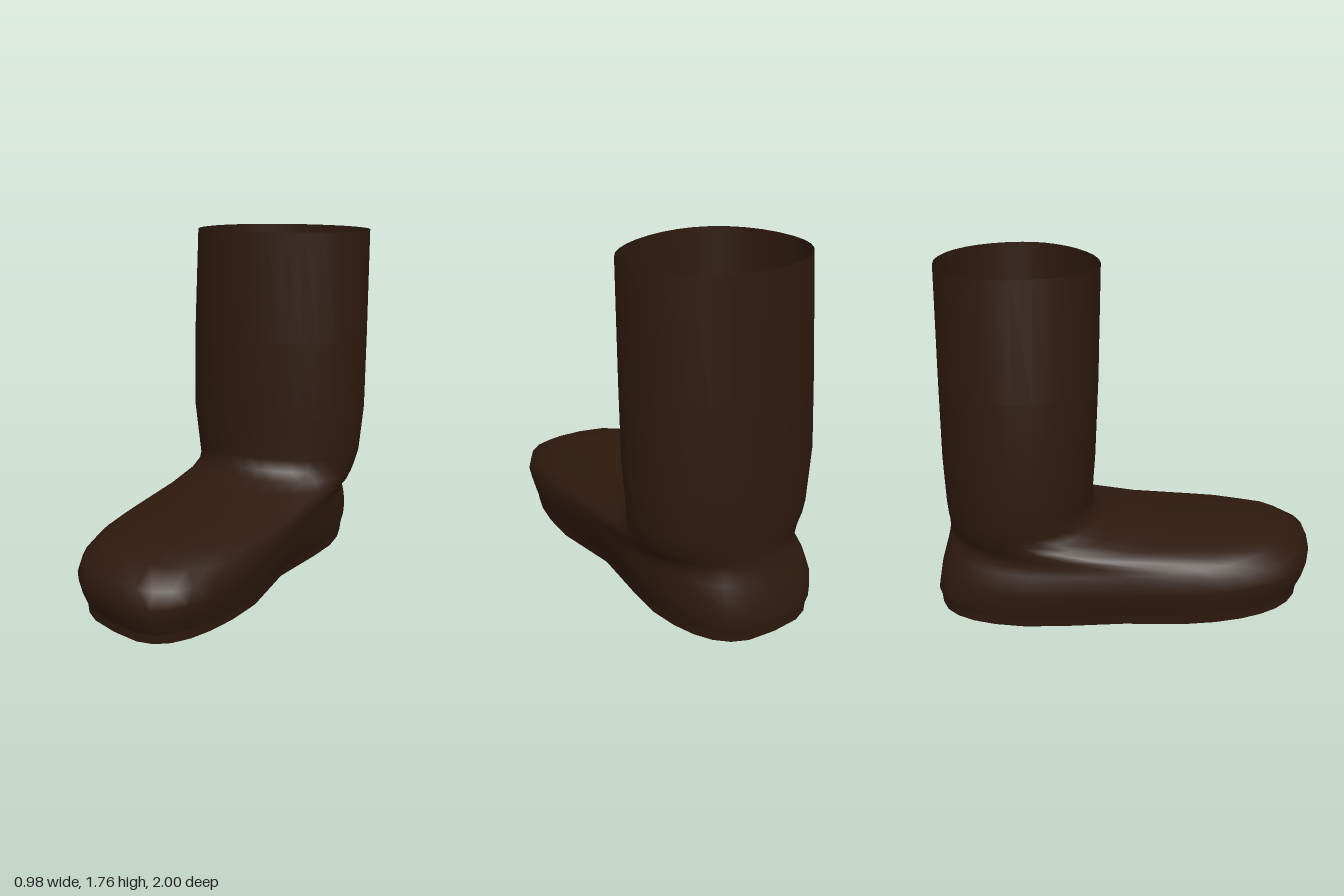
import * as THREE from 'three';

const SIDES = 32;
const signedPow = (v, e) => (Math.abs(v) < 1e-6 ? 0 : Math.sign(v) * Math.abs(v) ** e);

// Rings: front z, front y, back z, back y, right x, left x, side y, roundness (1 = ellipse), skew
const soleRings = [
  [0.925, 0.01, -0.985, 0.01, -0.468, 0.37, 0.005, 0.65, 0.22],
  [0.93, 0.055, -0.988, 0.055, -0.472, 0.375, 0.055, 0.65, 0.22],
];
const footRings = [
  [0.93, 0.055, -0.988, 0.055, -0.472, 0.375, 0.055, 0.65, 0.22],
  [0.96, 0.12, -1.0, 0.1, -0.486, 0.39, 0.12, 0.65, 0.22],
  [0.983, 0.2, -0.985, 0.18, -0.497, 0.405, 0.19, 0.65, 0.22],
  [0.95, 0.28, -0.965, 0.25, -0.487, 0.41, 0.25, 0.67, 0.2],
  [0.84, 0.35, -0.95, 0.3, -0.472, 0.412, 0.29, 0.72, 0.15],
  [0.68, 0.383, -0.94, 0.34, -0.462, 0.415, 0.325, 0.8, 0.1],
  [0.3, 0.402, -0.933, 0.38, -0.453, 0.42, 0.37, 0.92, 0.04],
  [0.0, 0.435, -0.93, 0.41, -0.45, 0.43, 0.41, 0.97, 0],
  [-0.12, 0.467, -0.93, 0.44, -0.452, 0.437, 0.45, 1, -0.03],
  [-0.17, 0.51, -0.935, 0.48, -0.46, 0.445, 0.49, 1, -0.06],
  [-0.183, 0.57, -0.94, 0.55, -0.476, 0.463, 0.56, 1, -0.08],
  [-0.17, 0.8, -0.945, 0.8, -0.49, 0.485, 0.8, 0.97, -0.13],
  [-0.152, 1.2, -0.94, 1.2, -0.47, 0.49, 1.2, 0.97, -0.16],
  [-0.135, 1.77, -0.93, 1.77, -0.43, 0.492, 1.77, 0.97, -0.18],
];

// One point on a ring, starting at the toe and turning towards the left side
function ringPoint([zf, yf, zb, yb, xr, xl, ys, e, skew], j) {
  const a = (j / SIDES) * Math.PI * 2;
  const s = signedPow(Math.sin(a), e);
  const c = signedPow(Math.cos(a), e);
  let dx = ((xl - xr) / 2) * s;
  const z = (zf + zb) / 2 + ((zf - zb) / 2) * c + skew * dx * Math.max(c, 0);
  // narrow the arch, more on the inner side and close to the sole
  const arch = Math.max(0, 1 - ys / 0.4) * Math.exp(-(((z + 0.1) / 0.28) ** 2));
  dx -= (s > 0 ? 0.07 : 0.03) * s * arch;
  const y = ys + ((c > 0 ? yf : yb) - ys) * c * c;
  return [(xl + xr) / 2 + dx, y, z];
}

function loft(rings) {
  const positions = [], index = [];
  rings.forEach((ring, i) => {
    for (let j = 0; j < SIDES; j++) {
      positions.push(...ringPoint(ring, j));
      if (i === 0) continue;
      const k = (j + 1) % SIDES, lo = (i - 1) * SIDES, hi = i * SIDES;
      index.push(lo + j, lo + k, hi + j, lo + k, hi + k, hi + j);
    }
  });
  return makeGeometry(positions, index);
}

// Flat fan closing a ring from below
function bottomCap(ring) {
  const positions = [(ring[4] + ring[5]) / 2, ring[1], (ring[0] + ring[2]) / 2], index = [];
  for (let j = 0; j < SIDES; j++) {
    positions.push(...ringPoint(ring, j));
    index.push(0, ((j + 1) % SIDES) + 1, j + 1);
  }
  return makeGeometry(positions, index);
}

function makeGeometry(positions, index) {
  const geometry = new THREE.BufferGeometry();
  geometry.setAttribute('position', new THREE.Float32BufferAttribute(positions, 3));
  geometry.setIndex(index);
  geometry.computeVertexNormals();
  return geometry;
}

export function createModel() {
  const group = new THREE.Group();
  group.name = 'boot';
  const leather = new THREE.MeshStandardMaterial({ color: 0x2e190d, side: THREE.DoubleSide });
  const add = (name, geometry) => {
    const mesh = new THREE.Mesh(geometry, leather);
    mesh.name = name;
    group.add(mesh);
  };

  // Foot and open shaft as one continuous skin
  add('footAndShaft', loft(footRings));
  // Sole edge and underside
  add('soleEdge', loft(soleRings));
  add('soleBottom', bottomCap(soleRings[0]));
  return group;
}
